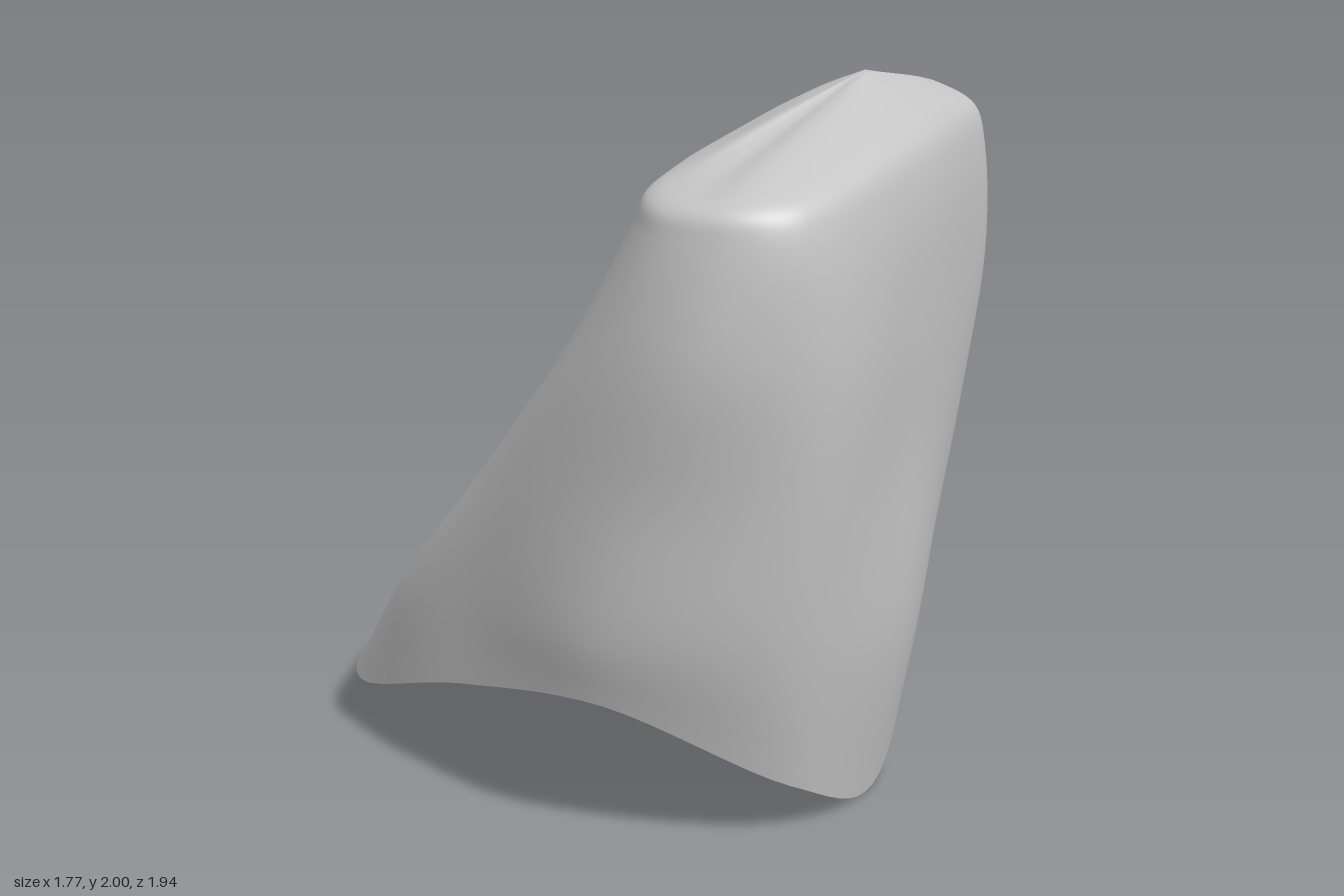
import * as THREE from 'three';

// Narrow roof running diagonally along the top, [x, y, z] per point,
// counterclockwise seen from above, from the front left corner
const crest = [[-.53, 1.85, .81], [.02, 1.93, .64], [.45, 1.92, .44], [.68, 1.88, .32], [.76, 1.86, .21],
  [.68, 1.87, .12], [.45, 1.91, .19], [.1, 1.94, .34], [-.22, 1.91, .45], [-.45, 1.88, .53],
  [-.6, 1.84, .59], [-.67, 1.82, .68], [-.64, 1.83, .78]];
// Level cross-sections, [x, z] per point
const levels = [
  { y: 1.72, xz: [[-.54, .95], [.02, .81], [.5, .58], [.76, .41], [.86, .22], [.76, .07], [.48, .06],
    [.1, .18], [-.25, .29], [-.5, .38], [-.69, .47], [-.775, .64], [-.71, .84]] },
  { y: 1.4, xz: [[-.5, .97], [.02, .82], [.5, .59], [.78, .41], [.88, .2], [.78, .02], [.48, -.08],
    [.12, -.01], [-.25, .11], [-.57, .22], [-.77, .32], [-.84, .5], [-.78, .79]] },
  { y: 1.0, xz: [[-.5, .93], [0, .81], [.45, .59], [.7, .4], [.81, .17], [.71, -.03], [.42, -.2],
    [.1, -.22], [-.25, -.17], [-.58, -.09], [-.8, .01], [-.865, .2], [-.83, .62]] },
];
// Flared skirt and wavy open rim, [x, y, z] per point
const skirt = [[-.52, .6, .86], [0, .5, .8], [.42, .6, .55], [.65, .72, .36], [.735, .82, .1],
  [.7, .86, -.1], [.36, .82, -.28], [.04, .71, -.44], [-.28, .57, -.56], [-.6, .5, -.56],
  [-.82, .5, -.41], [-.875, .62, 0], [-.86, .62, .5]];
const rim = [[-.42, .17, .79], [0, 0, .71], [.37, .3, .52], [.6, .51, .33], [.73, .73, -.02],
  [.69, .77, -.16], [.33, .68, -.4], [.02, .46, -.68], [-.26, .25, -.92], [-.55, .085, -.945],
  [-.79, .13, -.65], [-.875, .34, -.05], [-.82, .43, .48]];

const vec = (p) => new THREE.Vector3(...p);

// Smooth skin through the rings: splines down each column, then around each row
function skin(rings, rows, cols) {
  const columns = rings[0].map((_, i) => new THREE.CatmullRomCurve3(rings.map((r) => r[i])));
  const positions = [], index = [];
  for (let r = 0; r <= rows; r++) {
    const ring = new THREE.CatmullRomCurve3(columns.map((c) => c.getPoint(r / rows)), true);
    for (let c = 0; c < cols; c++) {
      const p = ring.getPoint(c / cols);
      positions.push(p.x, Math.max(0, p.y), p.z);
      if (r === rows) continue;
      const a = r * cols + c, b = r * cols + (c + 1) % cols;
      if (r > 0) index.push(a, b + cols, b);
      index.push(a, a + cols, b + cols);
    }
  }
  const geometry = new THREE.BufferGeometry();
  geometry.setAttribute('position', new THREE.Float32BufferAttribute(positions, 3));
  geometry.setIndex(index);
  geometry.computeVertexNormals();
  // The first row is one point, the peak
  const normals = geometry.attributes.normal;
  for (let c = 0; c < cols; c++) normals.setXYZ(c, 0, 1, 0);
  return geometry;
}

export function createModel() {
  const group = new THREE.Group();
  const plaster = new THREE.MeshStandardMaterial({ color: 0xc6c6c6, side: THREE.DoubleSide });
  plaster.name = 'plaster grey';

  const walls = levels.map(({ y, xz }) => xz.map(([x, z]) => new THREE.Vector3(x, y, z)));
  const top = crest.map(vec);
  const peak = top.map(() => new THREE.Vector3(.18, 2, .46));
  // Rounded shoulder between the walls and the crest
  const shoulder = walls[0].map((p, i) => {
    const s = p.clone().lerp(top[i], .25);
    s.y = THREE.MathUtils.lerp(p.y, top[i].y, .65);
    return s;
  });
  const rings = [peak, top, shoulder, ...walls, skirt.map(vec), rim.map(vec)];

  const shell = new THREE.Mesh(skin(rings, 42, 104), plaster);
  shell.name = 'shell';
  group.add(shell);
  return group;
}
